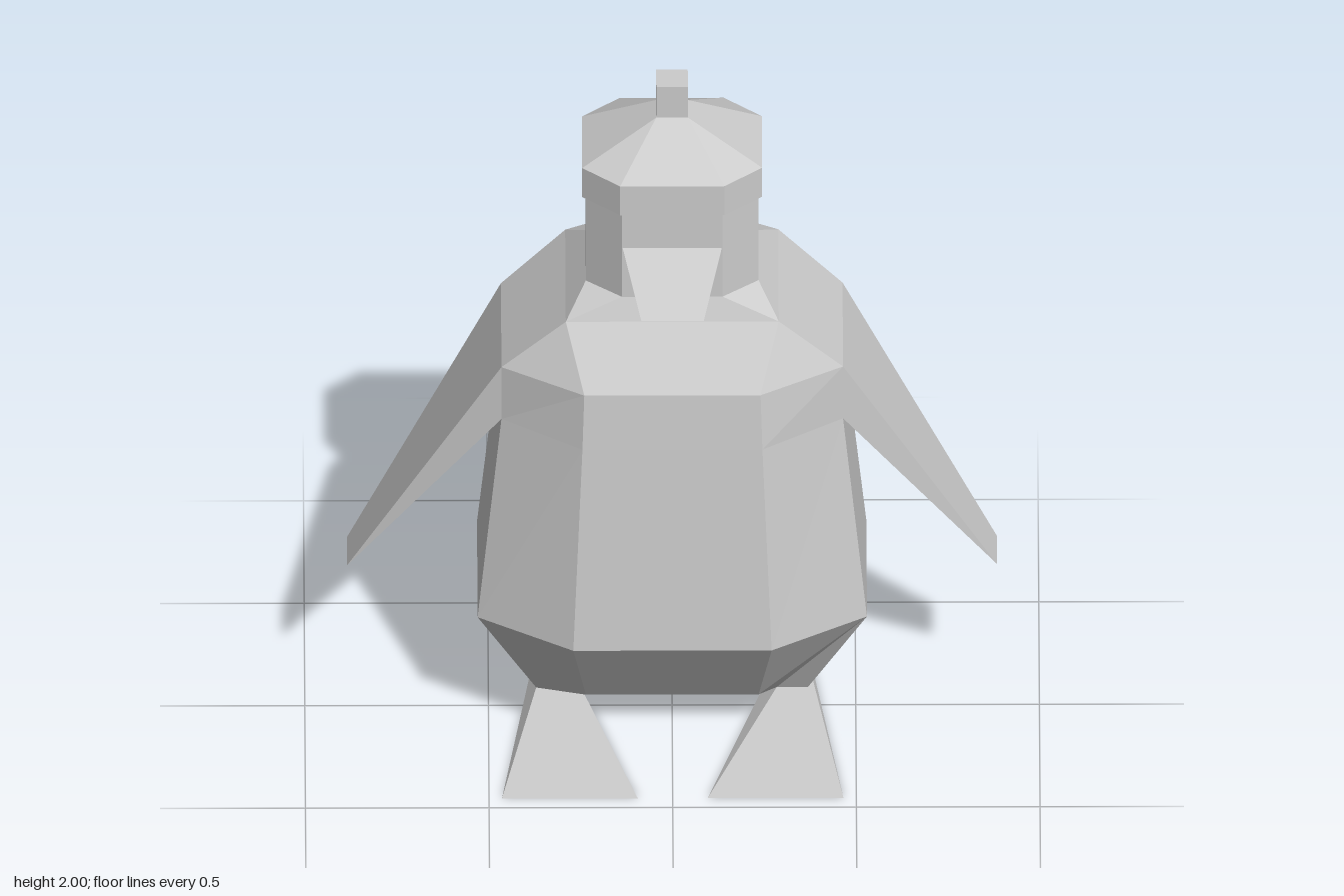
import * as THREE from 'three';

const material = new THREE.MeshStandardMaterial({ color: 0xcccccc, flatShading: true });

// Flat-shaded mesh from polygons (counter-clockwise corner lists)
function polyMesh(name, polys) {
  const pos = [];
  const ab = new THREE.Vector3(), ac = new THREE.Vector3();
  for (const p of polys) {
    const v = p.map((c) => new THREE.Vector3(...c));
    for (let i = 1; i < v.length - 1; i++) {
      ab.subVectors(v[i], v[0]);
      ac.subVectors(v[i + 1], v[0]);
      if (ab.cross(ac).length() < 1e-7) continue;
      for (const q of [v[0], v[i], v[i + 1]]) pos.push(q.x, q.y, q.z);
    }
  }
  const g = new THREE.BufferGeometry();
  g.setAttribute('position', new THREE.Float32BufferAttribute(pos, 3));
  g.computeVertexNormals();
  const m = new THREE.Mesh(g, material);
  m.name = name;
  return m;
}

const flip = ([x, y, z]) => [-x, y, z];
const mirrored = (polys) => polys.map((p) => p.map(flip).reverse());

// Eight-sided section: half width, half width of front/back face, z of front, back, side front, side back
const ring = (y, hx, cx, front, back, sideF, sideB) => [
  [-cx, y, front], [cx, y, front], [hx, y, sideF], [hx, y, sideB],
  [cx, y, back], [-cx, y, back], [-hx, y, sideB], [-hx, y, sideF],
];

// Four-sided section
const rect = (y, x0, x1, front, back) => [[x0, y, front], [x1, y, front], [x1, y, back], [x0, y, back]];

// Side faces between stacked sections, bottom to top
function loft(rings) {
  const polys = [];
  for (let k = 0; k < rings.length - 1; k++) {
    const a = rings[k], b = rings[k + 1], n = a.length;
    for (let i = 0; i < n; i++) {
      const j = (i + 1) % n;
      polys.push([a[i], a[j], b[j], b[i]]);
    }
  }
  return polys;
}

export function createModel() {
  const model = new THREE.Group();

  // Torso, shoulders and neck
  const hip = ring(0.39, 0.53, 0.27, 0.315, -0.46, 0.15, -0.32);
  const neck = ring(1.42, 0.235, 0.137, 0.12, -0.287, 0.04, -0.205);
  model.add(polyMesh('body', loft([
    hip,
    ring(1.02, 0.465, 0.245, 0.272, -0.413, 0.12, -0.29),
    ring(1.19, 0.465, 0.24, 0.26, -0.4, 0.12, -0.29),
    ring(1.355, 0.29, 0.29, 0.145, -0.305, 0.145, -0.305),
    neck,
  ])));

  // Belly underside, tapering into two ankles
  const [, A, B, C, D] = hip;
  const E = [0.235, 0.115, 0.12], F = [0.235, 0.115, -0.29];
  const ankle = rect(0.045, 0.285, 0.37, -0.02, -0.15);
  const [a, b, c, d] = ankle;
  const leg = [[A, E, B], [B, E, a, b], [B, b, c, C], [C, F, D], [C, c, d, F], [F, d, a, E]];
  model.add(polyMesh('belly', [
    [flip(A), flip(E), E, A],
    [flip(E), flip(F), F, E],
    [D, F, flip(F), flip(D)],
    ...leg, ...mirrored(leg),
  ]));

  // Wedge feet, wide at the toes
  const sole = [[0.095, 0, 0.455], [0.465, 0, 0.455], [0.385, 0, -0.163], [0.27, 0, -0.163]];
  const foot = [...loft([sole, ankle]), [...sole].reverse()];
  model.add(polyMesh('leftFoot', foot), polyMesh('rightFoot', mirrored(foot)));

  // Wings, thick at the shoulder and ending in a thin edge
  const Qf = [0.465, 1.19, 0.12], Qb = [0.465, 1.19, -0.29];
  const Rf = [0.465, 1.02, 0.12], Rb = [0.465, 1.02, -0.29];
  const Tf = [0.885, 0.45, -0.015], Tb = [0.885, 0.45, -0.153];
  const wing = [[Qf, Tf, Tb, Qb], [Rf, Rb, Tb, Tf], [Qf, Rf, Tf], [Qb, Tb, Rb]];
  model.add(polyMesh('leftWing', wing), polyMesh('rightWing', mirrored(wing)));

  // Head
  const headTop = neck.map(([x, , z]) => [x, 1.695, z]);
  model.add(polyMesh('head', loft([neck, headTop])));

  // Beak
  const w = 0.135, t = 0.085, z = 0.12;
  const up = [w, 1.58, z], low = [w, 1.455, z], tip = [t, 1.495, 0.35];
  const beakSide = [[up, tip, low]];
  beakSide[0].reverse();
  model.add(polyMesh('beak', [
    [flip(up), flip(tip), tip, up],
    [flip(low), low, tip, flip(tip)],
    ...beakSide, ...mirrored(beakSide),
  ]));

  // Hat: band and sloped crown
  model.add(polyMesh('hat', loft([
    headTop,
    ring(1.695, 0.245, 0.142, 0.132, -0.3, 0.042, -0.21),
    ring(1.79, 0.245, 0.142, 0.132, -0.3, 0.042, -0.21),
    ring(1.9, 0.043, 0.043, -0.04, -0.126, -0.04, -0.126),
  ])));

  // Knob on top of the hat
  const knob = new THREE.Mesh(new THREE.BoxGeometry(0.086, 0.11, 0.086), material);
  knob.name = 'hatKnob';
  knob.position.set(0, 1.945, -0.083);
  model.add(knob);

  return model;
}
